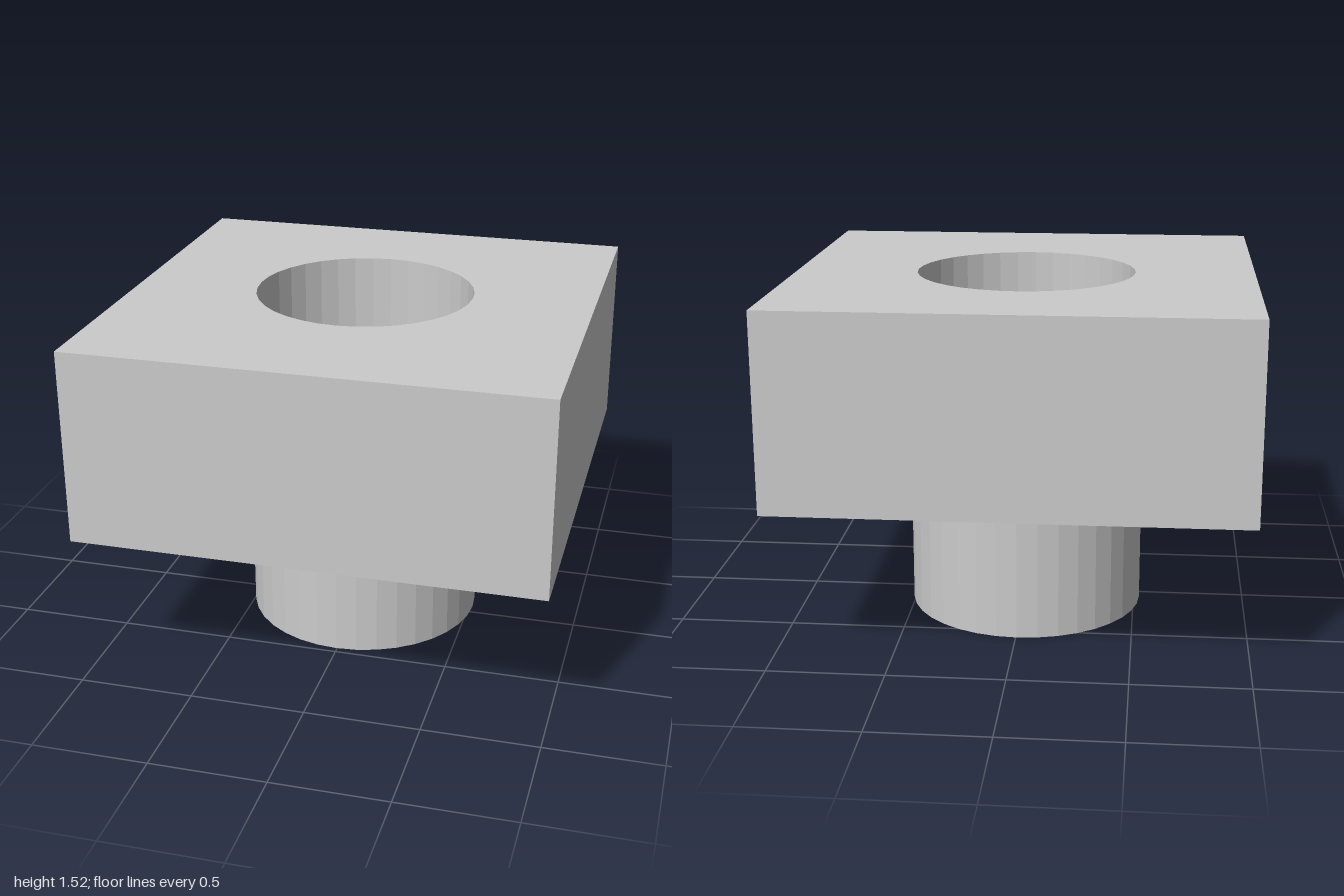
import * as THREE from 'three';

const CX = -0.004, CZ = -0.052;      // bore axis
const BORE = 0.478, OUTER = 0.522;   // radii
const SIDES = 36, STEP = 0.677, TOP = 1.517;

function ring(radius) {
  return Array.from({ length: SIDES }, (_, i) => {
    const a = (i / SIDES) * Math.PI * 2;
    return new THREE.Vector2(CX + radius * Math.cos(a), -CZ + radius * Math.sin(a));
  });
}

// Extrudes an outline upwards from y0 to y1, with the bore cut through it
function boredPart(name, outline, y0, y1) {
  const shape = new THREE.Shape(outline);
  shape.holes.push(new THREE.Path(ring(BORE).reverse()));
  const geometry = new THREE.ExtrudeGeometry(shape, { depth: y1 - y0, bevelEnabled: false });
  geometry.rotateX(-Math.PI / 2).translate(0, y0, 0);
  const material = new THREE.MeshStandardMaterial({ color: 0xcccccc, flatShading: true });
  const mesh = new THREE.Mesh(geometry, material);
  mesh.name = name;
  return mesh;
}

export function createModel() {
  const model = new THREE.Group();
  model.name = 'blockWithTube';

  // Square block with a through hole
  const square = [[-1, -1], [1, -1], [1, 1], [-1, 1]].map(([x, y]) => new THREE.Vector2(x, y));
  model.add(boredPart('block', square, STEP, TOP));

  // Thin-walled tube below the block, continuing the bore
  model.add(boredPart('tube', ring(OUTER), 0, STEP));

  return model;
}
